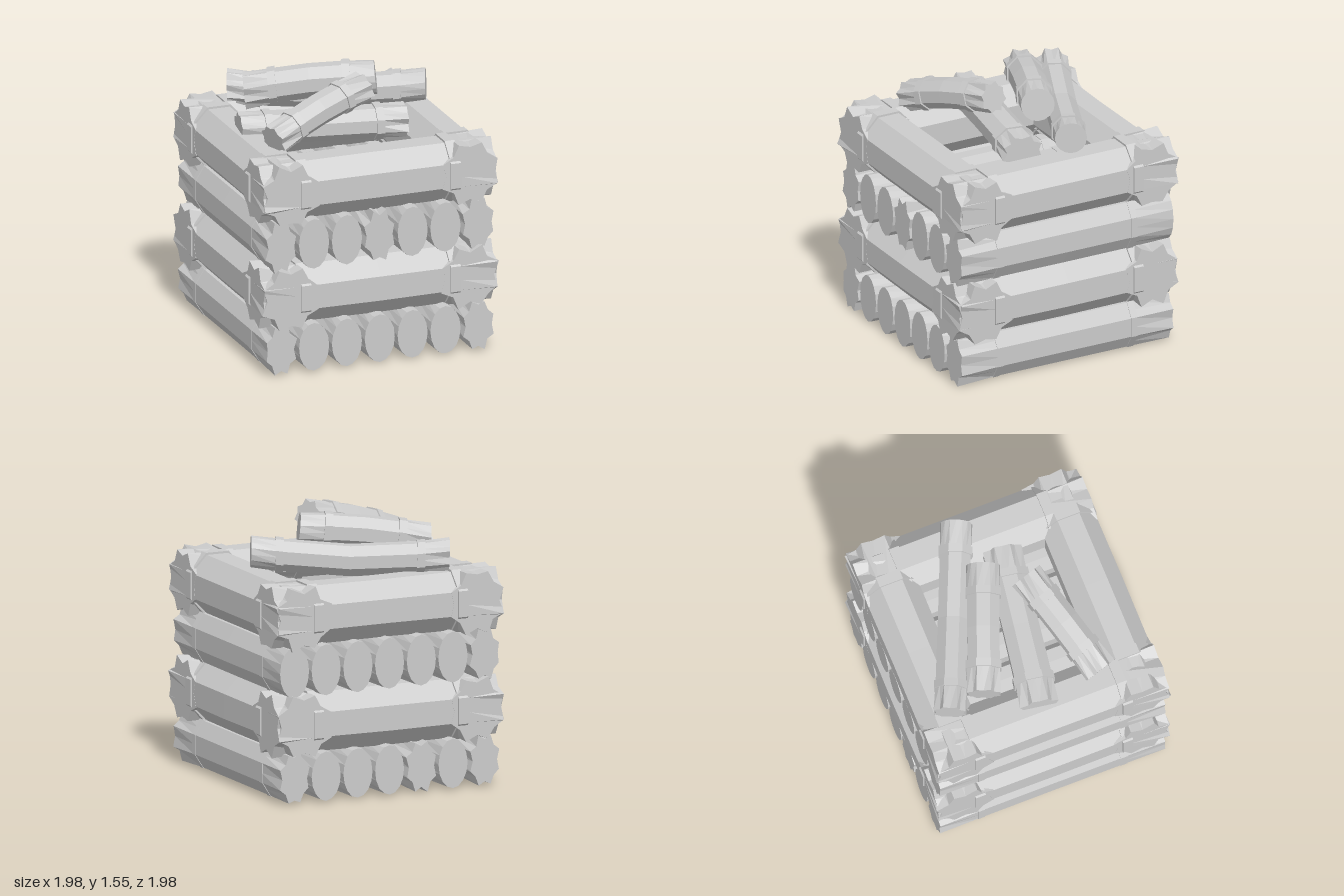
import * as THREE from 'three';

const SIDES = 16;
const FLAT = Math.cos(Math.PI / 8); // midpoints of an eight-sided section

export function createModel() {
  const wood = new THREE.MeshStandardMaterial({ color: 0xcccccc, flatShading: true });
  wood.name = 'wood grey';

  let seed = 11;
  const rand = () => {
    seed = (seed * 16807) % 2147483647;
    return seed / 2147483647;
  };
  const vary = (amount) => 1 + (rand() * 2 - 1) * amount;

  // Skins a list of rings; optionally closes both ends with a fan
  function skin(rings, capped) {
    const pos = [];
    const tri = (...pts) => pts.forEach((p) => pos.push(p.x, p.y, p.z));
    const n = rings[0].length;
    for (let i = 0; i < rings.length - 1; i++) {
      for (let j = 0; j < n; j++) {
        const k = (j + 1) % n;
        const [a, b, c, d] = [rings[i][j], rings[i][k], rings[i + 1][k], rings[i + 1][j]];
        tri(a, b, c);
        tri(a, c, d);
      }
    }
    if (capped) {
      [rings[0], rings[rings.length - 1]].forEach((ring, end) => {
        const mid = new THREE.Vector3();
        ring.forEach((p) => mid.addScaledVector(p, 1 / n));
        for (let j = 0; j < n; j++) {
          const k = (j + 1) % n;
          if (end) tri(mid, ring[j], ring[k]);
          else tri(mid, ring[k], ring[j]);
        }
      });
    }
    const geo = new THREE.BufferGeometry();
    geo.setAttribute('position', new THREE.Float32BufferAttribute(pos, 3));
    geo.computeVertexNormals();
    return geo;
  }

  // A faceted log from a to b; split ends are fluted, others rounded
  function makeLog(name, a, b, rx, ry, o = {}) {
    const { split = [true, true], sag = 0, inset = 0.25, strap = 1.07, strapWidth = 0.06, rough = 0.03 } = o;
    const start = new THREE.Vector3(...a);
    const along = new THREE.Vector3(...b).sub(start);
    const length = along.length();
    const dir = along.clone().normalize();
    const side = new THREE.Vector3(0, 1, 0).cross(dir).normalize();
    const up = dir.clone().cross(side);

    const ring = (t, even, odd, noise) => Array.from({ length: SIDES }, (_, j) => {
      const angle = (j / SIDES) * Math.PI * 2 + Math.PI / 8;
      const r = 1.04 * (j % 2 ? odd : even) * vary(noise);
      return start.clone().addScaledVector(along, t)
        .addScaledVector(side, Math.cos(angle) * rx * r)
        .addScaledVector(up, Math.sin(angle) * ry * r - sag * Math.sin(Math.PI * t));
    });
    const body = (t, scale = 1) => ring(t, scale, scale * FLAT, 0);
    const endRing = (t, fluted) => (fluted ? ring(t, 1.05, 0.84, 0.05) : ring(t, 0.97, 0.97, 0.01));

    const group = new THREE.Group();
    group.name = name;
    const add = (part, geo) => {
      const mesh = new THREE.Mesh(geo, wood);
      mesh.name = part;
      group.add(mesh);
    };

    const neck = inset / length;
    add('bark', skin([
      endRing(0, split[0]),
      body(neck),
      body(0.5, vary(rough)),
      body(1 - neck),
      endRing(1, split[1]),
    ], true));

    // Straps around both necks
    const half = strapWidth / 2 / length;
    for (const t of [neck, 1 - neck]) {
      add('strap', skin([
        body(t - half, 0.93), body(t - half, strap), body(t + half, strap), body(t + half, 0.93),
      ], false));
    }
    return group;
  }

  const model = new THREE.Group();
  model.name = 'logPile';
  const stack = new THREE.Group();
  stack.name = 'stack';
  stack.rotation.y = Math.atan2(0.64, 0.77);
  model.add(stack);

  // Rows of seven slim logs
  for (const [y, ry] of [[0.147, 0.14], [0.757, 0.145]]) {
    for (let i = 0; i < 7; i++) {
      const x = (i - 3) * 0.198;
      const split = [rand() < 0.3 || i === 0, rand() < 0.2 || i === 0 || i === 6];
      stack.add(makeLog('rowLog', [x, y, -0.68], [x, y, 0.68], 0.09, ry,
        { split, strap: 1.03, strapWidth: 0.04, rough: 0.01 }));
    }
  }

  // Square frames of four thick logs
  for (const y of [0.447, 1.06]) {
    for (const s of [-1, 1]) {
      stack.add(makeLog('frameLog', [-0.7, y, s * 0.535], [0.7, y, s * 0.535], 0.165, 0.175));
      stack.add(makeLog('frameLog', [s * 0.54, y, -0.695], [s * 0.54, y, 0.695], 0.165, 0.175));
    }
  }

  // Loose logs heaped on top
  const loose = { inset: 0.16, strap: 1.1, strapWidth: 0.045 };
  model.add(
    makeLog('looseLogBack', [-0.68, 1.31, -0.12], [0.39, 1.34, -0.43], 0.09, 0.09,
      { ...loose, sag: 0.04, split: [true, false] }),
    makeLog('looseLogMiddle', [-0.53, 1.35, 0.03], [0.17, 1.43, -0.2], 0.095, 0.095,
      { ...loose, sag: -0.02, split: [true, false] }),
    makeLog('looseLogLow', [-0.46, 1.23, 0.34], [0.36, 1.22, -0.15], 0.11, 0.09, loose),
    makeLog('looseLogFront', [-0.17, 1.28, 0.6], [0.18, 1.46, 0.05], 0.09, 0.085,
      { ...loose, sag: -0.02 }),
  );
  return model;
}
